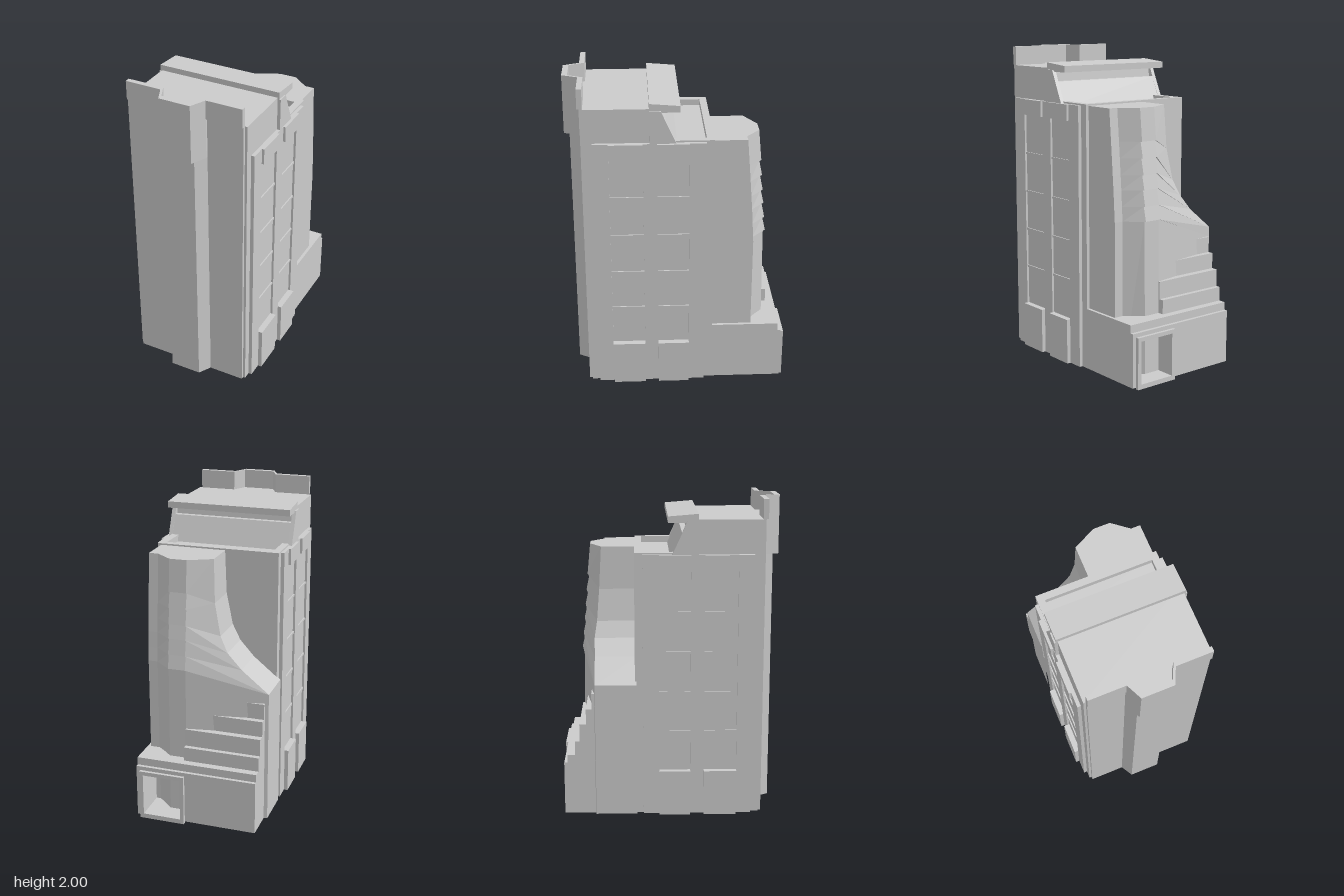
import * as THREE from 'three';

const material = new THREE.MeshStandardMaterial({ color: 0xcccccc, flatShading: true, side: THREE.DoubleSide });

export function createModel() {
  const tower = new THREE.Group();
  tower.name = 'towerBuilding';

  const add = (name, geometry) => {
    const mesh = new THREE.Mesh(geometry, material);
    mesh.name = name;
    tower.add(mesh);
    return mesh;
  };
  // box given by its limits on each axis
  const box = (name, x0, x1, y0, y1, z0, z1) => add(name,
    new THREE.BoxGeometry(Math.abs(x1 - x0), y1 - y0, z1 - z0)
      .translate((x0 + x1) / 2, (y0 + y1) / 2, (z0 + z1) / 2));
  const shapeOf = (pts) => new THREE.Shape(pts.map(([a, b]) => new THREE.Vector2(a, b)));
  const extrude = (shape, depth) => new THREE.ExtrudeGeometry(shape, { depth, bevelEnabled: false });
  // floor plan of [x, z] points raised from y0 to y1
  const plan = (name, pts, y0, y1, hole) => {
    const shape = shapeOf(pts.map(([x, z]) => [x, -z]));
    if (hole) shape.holes.push(shapeOf(hole.map(([x, z]) => [x, -z])));
    return add(name, extrude(shape, y1 - y0).rotateX(-Math.PI / 2).translate(0, y0, 0));
  };
  // side profile of [z, y] points stretched from x0 to x1
  const profile = (name, pts, x0, x1) => add(name,
    extrude(shapeOf(pts), x1 - x0).rotateY(-Math.PI / 2).translate(x1, 0, 0));
  const rect = (x0, x1, z0, z1) => [[x0, z0], [x1, z0], [x1, z1], [x0, z1]];

  // main block with the sloped wall behind the roof
  profile('mainBlock', [[0.56, 0.01], [0.56, 1.88], [0.115, 1.88], [0.105, 1.8], [0.07, 1.8],
    [0.0, 1.64], [-0.22, 1.64], [-0.22, 0.01]], -0.39, 0.39);
  box('frontWall', -0.375, 0.375, 0.01, 1.88, 0.55, 0.578);
  plan('terraceRim', rect(-0.39, 0.39, -0.22, 0.03), 1.63, 1.68, rect(-0.345, 0.345, -0.175, 0.02));
  profile('roofSlab', [[0.17, 1.86], [0.17, 1.915], [-0.015, 1.9], [-0.015, 1.86]], -0.4, 0.4);

  // front prow, its raised crown and the parapet wings
  plan('prow', [[-0.145, 0.55], [-0.145, 0.578], [-0.1, 0.655], [0.1, 0.655], [0.145, 0.578], [0.145, 0.55]], 0.01, 1.88);
  plan('prowCrown', [[-0.145, 0.56], [-0.1, 0.655], [0.1, 0.655], [0.145, 0.56],
    [0.145, 0.592], [0.1, 0.69], [-0.1, 0.69], [-0.145, 0.592]], 1.63, 2);

  for (const s of [-1, 1]) {
    box('parapetWing', s * 0.145, s * 0.375, 1.88, 2, 0.56, 0.592);
    const w = s > 0 ? [0.385, 0.41] : [-0.41, -0.385];
    profile('roofBracket', [[0.17, 1.63], [0.17, 1.87], [0.1, 1.87], [0.07, 1.8], [0.01, 1.67], [0.01, 1.63]], ...w);
    // side pilasters and the header over the bays
    for (const [z0, z1] of [[-0.17, -0.07], [0.125, 0.21], [0.415, 0.51]])
      box('pilaster', s * 0.38, s * 0.412, 0.01, 1.67, z0, z1);
    // window bays with floor ledges, foot and head blocks
    for (const z of [-0.07, 0.21]) {
      const z1 = z + (z < 0 ? 0.195 : 0.205);
      box('bayFoot', s * 0.38, s * 0.437, 0.01, 0.3, z, z1);
      box('bayHead', s * 0.38, s * 0.427, 1.57, 1.67, z, z1);
      box('bayPanel', s * 0.38, s * 0.398, 0.3, 1.57, z, z1);
      for (let i = 1; i < 5; i++) {
        const y = 0.3 + i * 0.254;
        box('bayLedge', s * 0.38, s * 0.406, y - 0.007, y + 0.007, z, z1);
      }
    }
  }

  // rear wing: faceted banded bay on one side, sweeping concave flank on the other.
  // each level: height, corner depth, bay depth, flank x, flank y, flank depth
  const levels = [
    [1.67, 0.42, 0.505, -0.05, 1.67, 0.43],
    [1.47, 0.437, 0.525, -0.06, 1.4, 0.445],
    [1.37, 0.445, 0.533, -0.1, 1.2, 0.46],
    [1.27, 0.453, 0.541, -0.15, 1.1, 0.475],
    [1.18, 0.46, 0.549, -0.24, 1.0, 0.472],
    [1.08, 0.466, 0.557, -0.412, 0.86, 0.47],
    [0.99, 0.472, 0.565, -0.412, 0.8, 0.47],
    [0.01, 0.472, 0.565, -0.412, 0.01, 0.47],
  ];
  const ring = ([y, c, b, fx, fy, fz], inset) => [
    [0.37, y, -0.21], [0.37, y, -c], [0.31, y, -c], [0.205, y, -b + inset], [0.095, y, -b + inset],
    [fx, fy, -fz], [fx, fy, -0.21]];
  const rings = [];
  levels.forEach((level, i) => {
    rings.push(ring(level, 0));
    // a small setback under every band
    if (i > 0 && i < 7) rings.push(ring(level, 0.013));
  });
  const n = rings[0].length;
  const index = [];
  for (let r = 0; r < rings.length - 1; r++)
    for (let i = 0; i < n - 1; i++) {
      const a = r * n + i, b = a + n;
      index.push(a, a + 1, b, a + 1, b + 1, b);
    }
  for (let i = 1; i < n - 1; i++) index.push(0, i + 1, i);
  const wing = new THREE.BufferGeometry();
  wing.setAttribute('position', new THREE.Float32BufferAttribute(rings.flat(2), 3));
  wing.setIndex(index);
  const wingFlat = wing.toNonIndexed();
  wingFlat.computeVertexNormals();
  add('rearWing', wingFlat);

  // terraced steps below the sweep
  [[0.49, 0.6], [0.6, 0.57], [0.7, 0.528], [0.8, 0.492]].forEach(([y, z]) =>
    box('terraceStep', -0.39, 0.095, 0.3, y, -z, -0.3));

  // rear base with a tunnel for the gate
  box('rearBase', -0.39, 0.39, 0.01, 0.4, -0.45, -0.2);
  const opening = [[0.095, 0.03], [0.34, 0.03], [0.34, 0.3], [0.095, 0.3]];
  const gateWall = (name, x0, x1, y0, y1, z0, z1) => {
    const shape = shapeOf([[x0, y0], [x1, y0], [x1, y1], [x0, y1]]);
    shape.holes.push(shapeOf(opening));
    add(name, extrude(shape, z1 - z0).translate(0, 0, z0));
  };
  gateWall('rearBaseUpper', -0.39, 0.39, 0.01, 0.4, -0.648, -0.45);
  gateWall('rearBaseFront', -0.39, 0.39, 0.01, 0.35, -0.67, -0.648);
  gateWall('gateFrame', 0.07, 0.365, 0, 0.325, -0.69, -0.67);

  return tower;
}
